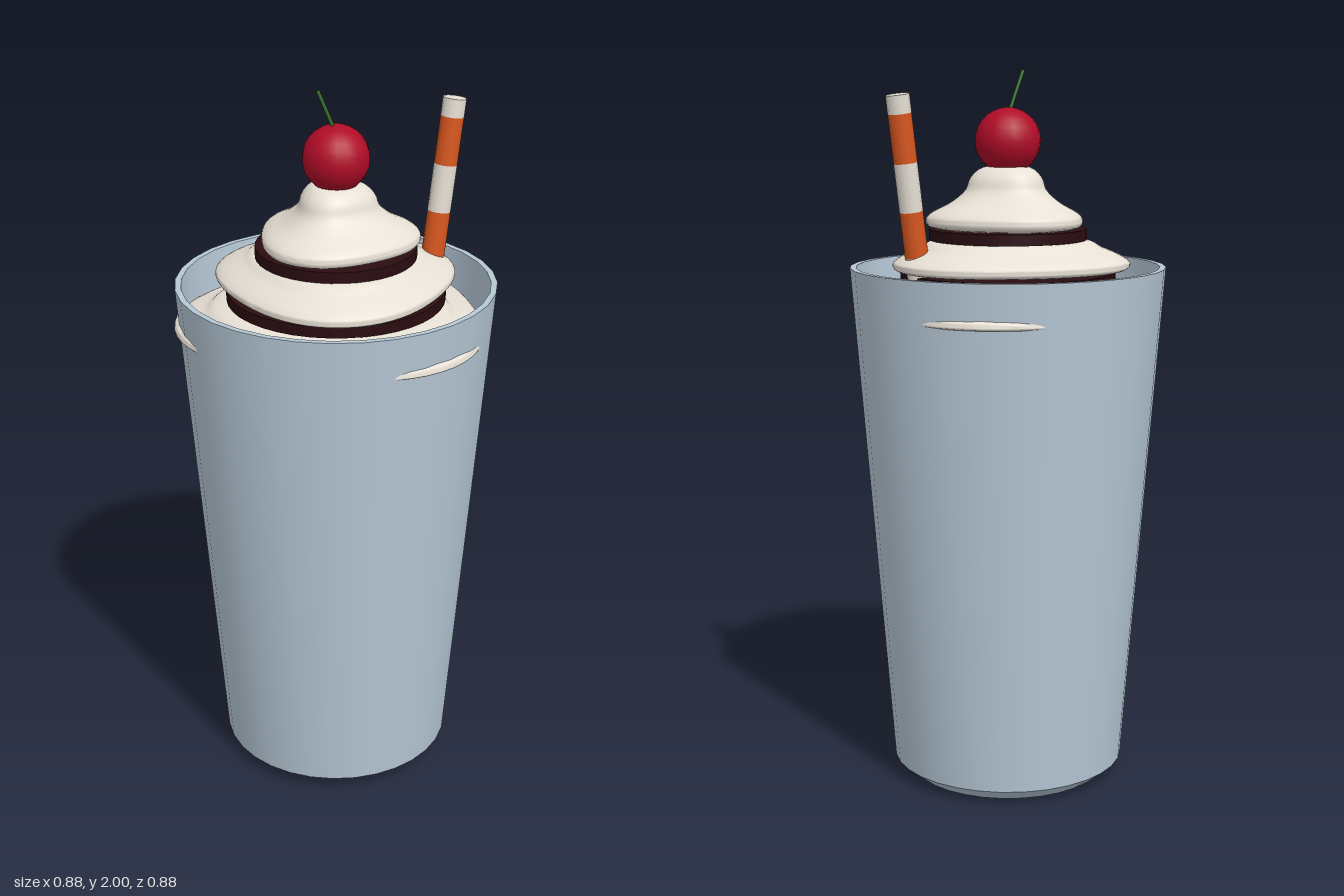
import * as THREE from 'three';
import { toCreasedNormals } from 'three/addons/utils/BufferGeometryUtils.js';

const paint = (name, color) => {
  const m = new THREE.MeshStandardMaterial({ color });
  m.name = name;
  return m;
};

export function createModel() {
  const model = new THREE.Group();
  model.name = 'sundaeCup';
  const cupBlue = paint('cupBlue', 0xb6c8d6);
  const cream = paint('cream', 0xebe4d9);
  const chocolate = paint('chocolate', 0x2a0c10);
  const orange = paint('strawOrange', 0xd9571f);
  const drinkBrown = paint('drink', 0xb0512c);
  const cherryRed = paint('cherryRed', 0xb00c28);
  const stemGreen = paint('stemGreen', 0x3c7a30);

  const add = (name, geometry, material, parent = model) => {
    const mesh = new THREE.Mesh(geometry, material);
    mesh.name = name;
    parent.add(mesh);
    return mesh;
  };
  const lathe = (points, segments) =>
    new THREE.LatheGeometry(points.map(([r, y]) => new THREE.Vector2(r, y)), segments);

  // Tapered cup with a bevelled foot, thin rim and hollow inside
  add('cup', toCreasedNormals(lathe([
    [0, 0], [0.28, 0], [0.33, 0.04], [0.44, 1.465], [0.423, 1.465], [0.318, 0.06], [0, 0.06],
  ], 32), 0.5), cupBlue);

  // Drink just under the cream
  add('drink', new THREE.CylinderGeometry(0.412, 0.40, 0.15, 32).translate(0, 1.255, 0), drinkBrown);

  // Cream layers: three soft lobes, each layer turned differently
  const creamLayer = (name, points, lobe, turnDegrees) => {
    const curve = new THREE.SplineCurve(points.map(([r, y]) => new THREE.Vector2(r, y)));
    const profile = curve.getPoints(28).map((p) => [Math.max(p.x, 0), p.y]);
    const geometry = lathe(profile, 64);
    const pos = geometry.attributes.position;
    const turn = THREE.MathUtils.degToRad(turnDegrees);
    for (let i = 0; i < pos.count; i++) {
      const x = pos.getX(i), z = pos.getZ(i);
      const s = 1 + lobe * Math.cos(3 * (Math.atan2(z, x) - turn));
      pos.setX(i, x * s);
      pos.setZ(i, z * s);
    }
    add(name, toCreasedNormals(geometry, 1.1), cream);
  };
  creamLayer('creamBottom', [
    [0, 1.335], [0.2, 1.335], [0.39, 1.34], [0.418, 1.355], [0.395, 1.372], [0.34, 1.39], [0.28, 1.415], [0, 1.43],
  ], 0.065, 81);
  creamLayer('creamMiddle', [
    [0, 1.455], [0.2, 1.455], [0.30, 1.458], [0.325, 1.475], [0.305, 1.495], [0.25, 1.52], [0.2, 1.54], [0, 1.55],
  ], 0.06, 0);
  creamLayer('creamTop', [
    [0, 1.567], [0.12, 1.567], [0.2, 1.575], [0.215, 1.595], [0.2, 1.615], [0.15, 1.642],
    [0.112, 1.675], [0.098, 1.71], [0.065, 1.738], [0, 1.745],
  ], 0.065, -90);

  // Chocolate sauce between the layers
  for (const [name, radius, y] of [['lowerChocolate', 0.3, 1.435], ['upperChocolate', 0.22, 1.555]]) {
    add(name, new THREE.CylinderGeometry(radius, radius, 0.03, 40).translate(0, y, 0), chocolate);
  }

  // Cherry and its bent stem
  add('cherry', new THREE.SphereGeometry(0.091, 18, 14).translate(0, 1.81, 0), cherryRed);
  const stemPath = new THREE.QuadraticBezierCurve3(
    new THREE.Vector3(0, 1.875, 0), new THREE.Vector3(-0.027, 1.935, 0), new THREE.Vector3(-0.057, 2, 0));
  add('cherryStem', new THREE.TubeGeometry(stemPath, 6, 0.005, 6), stemGreen);

  // Leaning striped straw, stripes listed from the top down
  const straw = new THREE.Group();
  straw.name = 'straw';
  straw.position.set(0.341, 1.937, 0.056);
  straw.rotation.z = -0.137;
  model.add(straw);
  let top = 0;
  [0.05, 0.131, 0.131, 0.125, 0.15].forEach((length, i) => {
    add(`strawStripe${i + 1}`, new THREE.CylinderGeometry(0.032, 0.032, length, 14)
      .translate(0, top - length / 2, 0), i % 2 ? orange : cream, straw);
    top -= length;
  });
  return model;
}
